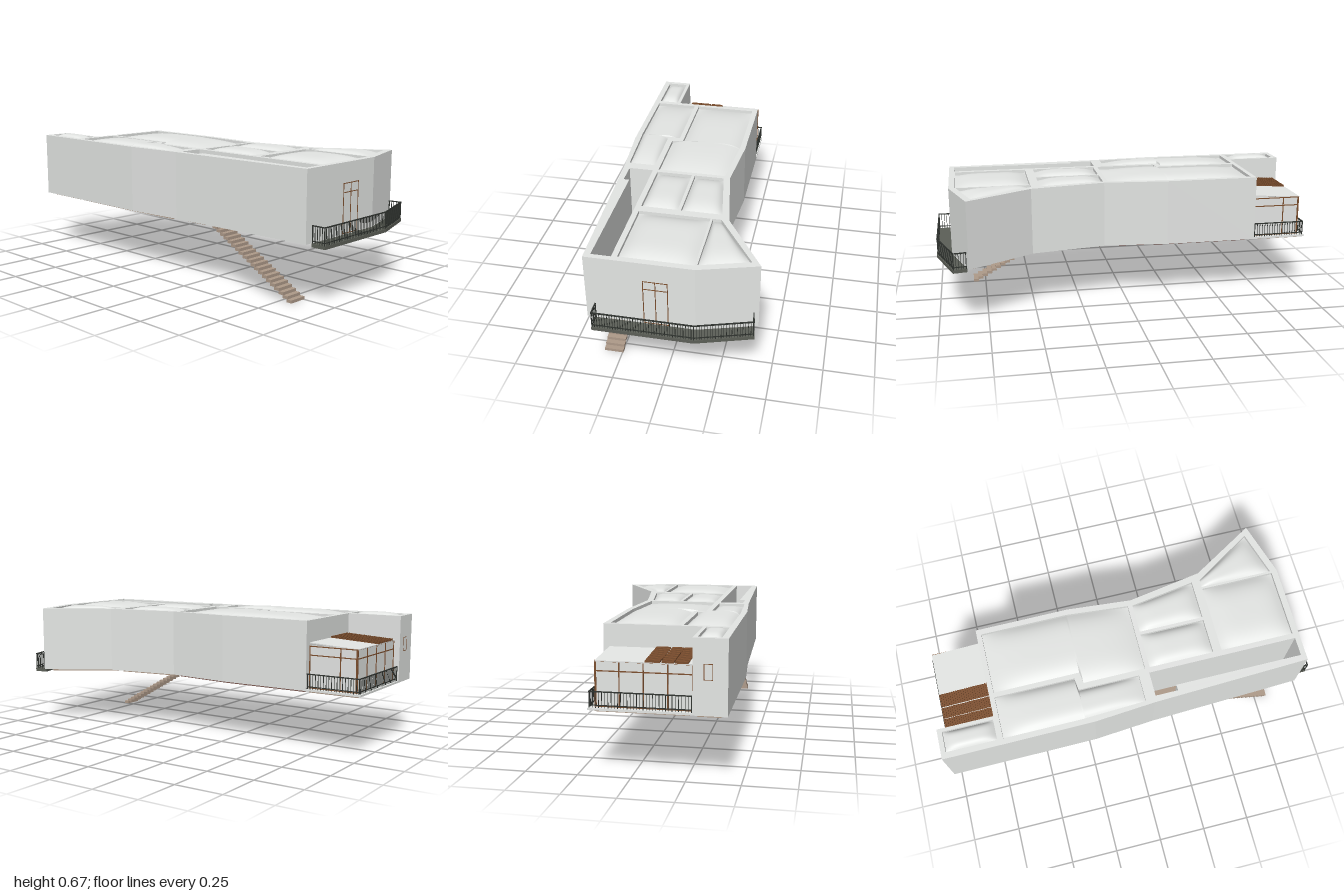
import * as THREE from 'three';
import { mergeGeometries } from 'three/addons/utils/BufferGeometryUtils.js';

const mat = (name, color, side = THREE.FrontSide) => {
  const m = new THREE.MeshStandardMaterial({ color, side });
  m.name = name;
  return m;
};

const BASE = 0.308, TOP = 0.655;

// Plan shape from [x, z] points
const plan = (pts, holes = []) => {
  const s = new THREE.Shape(pts.map(([x, z]) => new THREE.Vector2(x, -z)));
  s.holes = holes.map(h => new THREE.Path(h.map(([x, z]) => new THREE.Vector2(x, -z))));
  return s;
};

// Plan shape raised from y0 to y1
const slab = (shape, y0, y1) =>
  new THREE.ExtrudeGeometry(shape, { depth: y1 - y0, bevelEnabled: false }).rotateX(-Math.PI / 2).translate(0, y0, 0);

const box = (x0, x1, y0, y1, z0, z1) =>
  new THREE.BoxGeometry(x1 - x0, y1 - y0, z1 - z0).translate((x0 + x1) / 2, (y0 + y1) / 2, (z0 + z1) / 2);

// Horizontal bar between two plan points at height y
const bar = (a, b, y, w, h) => {
  const dx = b[0] - a[0], dz = b[1] - a[1];
  return new THREE.BoxGeometry(w, h, Math.hypot(dx, dz) + w)
    .rotateY(Math.atan2(dx, dz)).translate((a[0] + b[0]) / 2, y, (a[1] + b[1]) / 2);
};

// Domed roof stretched between a left and a right edge polyline
function pillow({ left, right }) {
  const edge = 0.638, peak = 0.665, N = 16, rows = [];
  const zMid = k => (left[k][1] + right[k][1]) / 2;
  const last = left.length - 1, z0 = zMid(0), z1 = zMid(last);
  for (let k = 0; k < last; k++) {
    for (let s = 0; s <= N; s++) {
      const t = s / N, mix = (e, i) => e[k][i] + (e[k + 1][i] - e[k][i]) * t;
      const v = ((zMid(k) + (zMid(k + 1) - zMid(k)) * t - z0) / (z1 - z0)) * 2 - 1;
      rows.push([mix(left, 0), mix(left, 1), mix(right, 0), mix(right, 1), v]);
    }
  }
  const pos = [], idx = [];
  rows.forEach(([lx, lz, rx, rz, v], i) => {
    for (let j = 0; j <= N; j++) {
      const t = j / N, u = t * 2 - 1;
      pos.push(lx + (rx - lx) * t, edge + (peak - edge) * (1 - u ** 4) * (1 - v ** 4), lz + (rz - lz) * t);
      if (i && j) {
        const d = i * (N + 1) + j, c = d - 1, b = d - N - 1, a = b - 1;
        idx.push(a, c, b, b, c, d);
      }
    }
  });
  const g = new THREE.BufferGeometry();
  g.setAttribute('position', new THREE.Float32BufferAttribute(pos, 3));
  g.setIndex(idx);
  g.computeVertexNormals();
  return g;
}

// Railing along a plan path
function railing(path, y0, y1, step) {
  const parts = [];
  for (let k = 0; k < path.length - 1; k++) {
    const a = path[k], b = path[k + 1];
    parts.push(bar(a, b, y1 - 0.0025, 0.006, 0.005), bar(a, b, y0 + 0.012, 0.004, 0.004));
    const n = Math.max(2, Math.round(Math.hypot(b[0] - a[0], b[1] - a[1]) / step));
    for (let i = 0; i <= n; i++) {
      const x = a[0] + (b[0] - a[0]) * i / n, z = a[1] + (b[1] - a[1]) * i / n;
      const w = i % n ? 0.0012 : 0.002;
      parts.push(box(x - w, x + w, y0, y1, z - w, z + w));
    }
  }
  return mergeGeometries(parts);
}

export function createModel() {
  const model = new THREE.Group();
  model.name = 'raisedHouse';
  const wall = mat('pale grey concrete', 0xe4e6e4);
  const roof = mat('pale grey roof', 0xe4e6e4, THREE.DoubleSide);
  const brown = mat('dull brown floor', 0xae9a89);
  const red = mat('dark red floor', 0x7d5b53);
  const wood = mat('brown wood', 0x7d4f2e);
  const balconyGrey = mat('dark balcony grey', 0x5c5f57);
  const iron = mat('dark iron', 0x2f332f);
  const add = (name, geo, m, parent = model) => {
    const mesh = new THREE.Mesh(geo, m);
    mesh.name = name;
    parent.add(mesh);
    return mesh;
  };

  // Rooms, each given by its left and right edge from back to front
  const rooms = [
    { name: 'towerRoom', left: [[-0.405, -0.975], [-0.405, -0.715]], right: [[-0.298, -0.975], [-0.298, -0.715]] },
    { name: 'longRoom', left: [[-0.405, -0.685], [-0.405, -0.27], [-0.404, -0.262], [-0.39, 0.055]],
      right: [[-0.185, -0.685], [-0.185, -0.27], [-0.25, -0.262], [-0.25, 0.055]] },
    { name: 'mainRoom', floor: red, left: [[-0.16, -0.685], [-0.16, -0.237], [-0.22, -0.229], [-0.22, 0.095]],
      right: [[0.168, -0.685], [0.168, -0.237], [0.168, -0.229], [0.138, 0.095]] },
    { name: 'middleRoomRight', left: [[-0.22, 0.12], [-0.22, 0.46]], right: [[-0.035, 0.12], [-0.035, 0.46]] },
    { name: 'middleRoomLeft', left: [[-0.018, 0.12], [-0.018, 0.46]], right: [[0.135, 0.12], [0.188, 0.46]] },
    { name: 'frontRoom', left: [[-0.22, 0.505], [-0.22, 0.89]], right: [[0.138, 0.505], [0.138, 0.89]] },
    { name: 'cornerRoom', left: [[0.15, 0.505], [0.15, 0.885]], right: [[0.192, 0.505], [0.387, 0.815]] },
  ];
  const outlineOf = r => [...r.left, ...[...r.right].reverse()];

  // Outer and inner walls, with the open stair well
  const stairWell = [[-0.375, 0.11], [-0.375, 0.228], [-0.345, 0.228], [-0.345, 0.895], [-0.248, 0.895], [-0.248, 0.11]];
  const outline = [[-0.437, -1], [-0.28, -1], [-0.28, -0.71], [0.197, -0.71], [0.197, -0.22], [0.167, 0.118],
    [0.232, 0.507], [0.432, 0.838], [0.147, 0.922], [-0.376, 0.922], [-0.408, 0.1], [-0.433, -0.22]];
  add('walls', slab(plan(outline, [...rooms.map(outlineOf), stairWell]), BASE, TOP), wall);

  // Domed roofs and floors
  for (const r of rooms) {
    add(r.name + 'Roof', pillow(r), roof);
    add(r.name + 'Floor', slab(plan(outlineOf(r)), 0.297, 0.315), r.floor || brown);
  }

  // Stair landing and treads
  add('landing', box(-0.375, -0.248, 0.298, 0.312, 0.11, 0.275), brown);
  const treads = [], count = 20;
  for (let i = 0; i < count; i++) {
    const y = i * 0.0147, z = 0.818 - i * 0.0258;
    treads.push(box(-0.342, -0.246, y, y + 0.0147, z - 0.03, z));
  }
  add('stairTreads', mergeGeometries(treads), brown);

  // Front balcony
  add('balconySlab', slab(plan([[-0.335, 0.922], [0.147, 0.922], [0.412, 0.845], [0.424, 0.915], [0.155, 0.999], [-0.335, 0.999]]),
    0.29, 0.307), balconyGrey);
  add('balconyRailing', railing([[-0.332, 0.926], [-0.332, 0.994], [0.154, 0.994], [0.419, 0.912], [0.409, 0.85]], 0.307, 0.393, 0.0125), iron);

  // Front door frame
  const zd = 0.922;
  add('frontDoorFrame', mergeGeometries([
    ...[-0.098, -0.04, 0.018].map(x => box(x - 0.002, x + 0.002, 0.31, 0.556, zd - 0.004, zd + 0.0015)),
    ...[0.312, 0.51, 0.554].map(y => box(-0.1, 0.02, y - 0.002, y + 0.002, zd - 0.004, zd + 0.0015)),
  ]), wood);

  // Tower window frame
  add('towerWindowFrame', mergeGeometries([
    ...[-0.369, -0.331].map(x => box(x - 0.0015, x + 0.0015, 0.47, 0.54, -1.001, -0.996)),
    ...[0.47, 0.54].map(y => box(-0.37, -0.33, y - 0.0015, y + 0.0015, -1.001, -0.996)),
  ]), wood);

  // Rear terrace
  add('terraceSlab', box(-0.28, 0.197, BASE, 0.318, -1, -0.71), wall);
  add('terraceUnderside', box(-0.265, 0.17, 0.298, 0.31, -0.975, -0.715), brown);
  add('terraceRailing', railing([[0.19, -0.715], [0.19, -0.99], [-0.276, -0.99]], 0.318, 0.395, 0.0145), iron);

  // Sun room panes and frame
  const ax = -0.278, bx = 0.167, bz = -0.967;
  add('sunRoomPanes', mergeGeometries([
    box(ax, bx, 0.318, 0.528, bz, bz + 0.005),
    box(bx - 0.005, bx, 0.318, 0.532, bz, -0.712),
  ]), wall);
  const frame = [];
  for (let i = 0; i <= 4; i++) {
    const x = ax + 0.002 + (bx - ax - 0.002) * i / 4;
    frame.push(box(x - 0.0025, x + 0.0025, 0.318, 0.53, bz - 0.003, bz + 0.006));
  }
  for (const z of [-0.715, -0.88, bz]) frame.push(box(bx - 0.006, bx + 0.003, 0.318, 0.53, z - 0.0025, z + 0.0025));
  for (const y of [0.32, 0.484, 0.528]) {
    frame.push(box(ax, bx, y - 0.0025, y + 0.0025, bz - 0.003, bz + 0.006));
    frame.push(box(bx - 0.006, bx + 0.003, y - 0.0025, y + 0.0025, bz, -0.712));
  }
  add('sunRoomFrame', mergeGeometries(frame), wood);

  // Sloping sun room roof with wooden louvres
  const cover = new THREE.Group();
  cover.name = 'sunRoomRoof';
  cover.position.set(0, 0.538, -0.842);
  cover.rotation.x = -0.058;
  model.add(cover);
  add('roofPanel', box(ax, bx, -0.004, 0.001, -0.13, 0.13), wall, cover);
  const louvres = [];
  for (const [x0, x1] of [[-0.258, -0.198], [-0.194, -0.137], [-0.131, -0.062]]) {
    louvres.push(box(x0, x1, 0.0005, 0.003, -0.13, 0.13));
    for (let i = 0; i < 22; i++) {
      const z = -0.127 + i * 0.0119;
      louvres.push(box(x0, x1, 0.003, 0.009, z, z + 0.005));
    }
  }
  add('louvres', mergeGeometries(louvres), wood, cover);

  return model;
}
